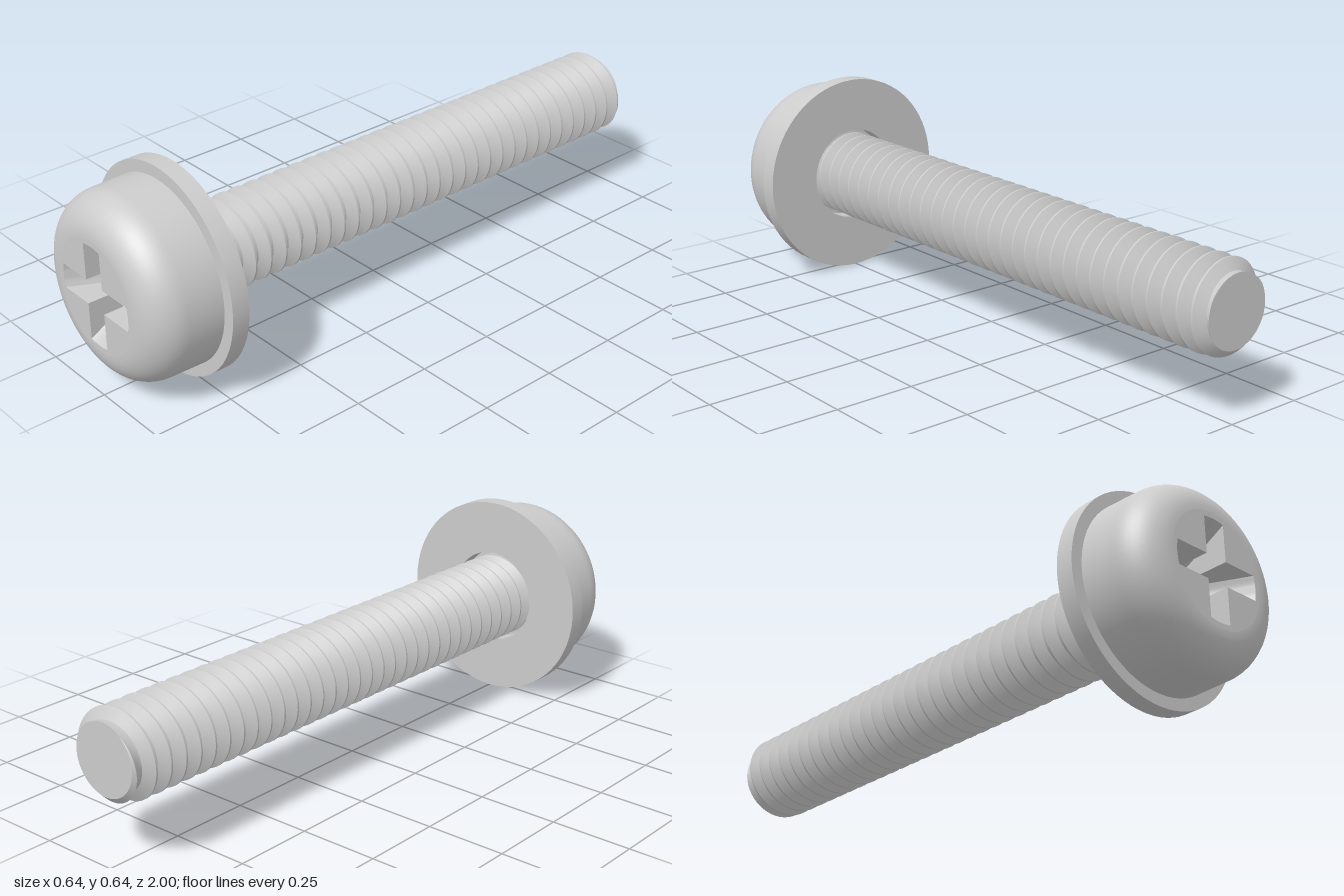
import * as THREE from 'three';
import { toCreasedNormals, mergeGeometries } from 'three/addons/utils/BufferGeometryUtils.js';

const SEG = 72;
const W = 0.038;                 // half width of a recess arm
const R_FLAT = 0.173;            // flat disc on the head
const R_ARM = 0.156;             // reach of a recess arm
const material = new THREE.MeshStandardMaterial({ color: 0xcccccc });

// Surface through rows of points; faces look along (column direction) x (row direction)
function grid(rows) {
  const n = rows[0].length, index = [];
  for (let k = 0; k < rows.length - 1; k++) {
    for (let j = 0; j < n - 1; j++) {
      const a = k * n + j, d = a + n;
      index.push(a, a + 1, d + 1, a, d + 1, d);
    }
  }
  const g = new THREE.BufferGeometry();
  g.setAttribute('position', new THREE.Float32BufferAttribute(rows.flat(2), 3));
  g.setIndex(index);
  return g;
}

// Profile of [radius, z] pairs turned around the z axis
function turned(profile) {
  const pts = profile.map(([r, z]) => new THREE.Vector2(r, z));
  return new THREE.LatheGeometry(pts, SEG).rotateX(Math.PI / 2);
}

function addMesh(group, name, geometry, crease = 0.5) {
  const mesh = new THREE.Mesh(toCreasedNormals(geometry, crease), material);
  mesh.name = name;
  group.add(mesh);
}

// Half angle of an arm at radius r
const armAngle = (r) => (r <= W * Math.SQRT2 ? Math.PI / 4 : Math.asin(W / r));

function headBody() {
  const profile = [[0.1, 0.78], [0.283, 0.78], [0.281, 0.89]];
  for (let i = 1; i <= 12; i++) {
    const a = (i / 12) * Math.PI / 2;
    profile.push([R_FLAT + 0.108 * Math.cos(a), 0.89 + 0.11 * Math.sin(a)]);
  }
  return turned(profile);
}

// Flat front disc with the cross-shaped opening
function headFace() {
  const shape = new THREE.Shape();
  shape.absarc(0, 0, R_FLAT, 0, Math.PI * 2, false);
  const pts = [], tip = armAngle(R_ARM);
  for (let arm = 0; arm < 4; arm++) {
    const mid = arm * Math.PI / 2;
    for (let i = 0; i <= 8; i++) {
      const a = mid + tip * (i / 4 - 1);
      pts.push(new THREE.Vector2(R_ARM * Math.cos(a), R_ARM * Math.sin(a)));
    }
    const c = mid + Math.PI / 4;
    pts.push(new THREE.Vector2(W * Math.SQRT2 * Math.cos(c), W * Math.SQRT2 * Math.sin(c)));
  }
  shape.holes.push(new THREE.Path(pts));
  return new THREE.ShapeGeometry(shape, SEG).translate(0, 0, 1);
}

// One quarter of the recess: conical floor and two side walls
function recessArm() {
  const corner = W * Math.SQRT2;
  const stations = [[R_ARM, 1], [0.08, 0.85], [corner, 0.834], [0.013, 0.81], [0.009, 0.8], [0, 0.797]];
  const floor = stations.map(([r, z]) => Array.from({ length: 9 }, (_, i) => {
    const a = armAngle(r) * (i / 4 - 1);
    return [r * Math.cos(a), r * Math.sin(a), z];
  }));
  const edge = stations.slice(0, 3).reverse().map(([r, z]) => [Math.sqrt(r * r - W * W), z]);
  const wall = (y, list) => grid([
    list.map(([x, z]) => [x, y, z]),
    list.map(([x]) => [x, y, 1]),
  ]);
  return mergeGeometries([grid(floor), wall(W, edge), wall(-W, [...edge].reverse())]);
}

// Right-handed helical thread, trimmed at both ends and chamfered at the tip
function thread() {
  const pitch = 0.0545, root = 0.105, crest = 0.138, end = 0.108;
  const zMin = -1, zMax = 0.78;
  const tooth = [[0, root], [0.18, root], [0.54, crest], [0.64, crest]];
  const turns = Math.ceil((zMax - zMin) / pitch) + 2;
  const rows = [];
  for (let t = -1; t < turns; t++) {
    for (const [f, radius] of tooth) {
      const row = [];
      for (let j = 0; j <= 48; j++) {
        const a = (j / 48) * Math.PI * 2;
        const raw = zMin + pitch * (t + f + j / 48);
        const z = Math.min(zMax, Math.max(zMin, raw));
        const r = z === zMin ? end : Math.min(radius, end + (z - zMin));
        row.push([r * Math.cos(a), r * Math.sin(a), z]);
      }
      rows.push(row);
    }
  }
  return grid(rows);
}

export function createModel() {
  const model = new THREE.Group();
  model.name = 'screw';

  const head = new THREE.Group();
  head.name = 'head';
  addMesh(head, 'headBody', headBody());
  addMesh(head, 'headFace', headFace());
  for (let i = 0; i < 4; i++) {
    addMesh(head, 'recessArm', recessArm().rotateZ(i * Math.PI / 2), 0.4);
  }
  model.add(head);

  // Loose washer ring under the head
  addMesh(model, 'washer', turned([
    [0.15, 0.725], [0.32, 0.725], [0.32, 0.78], [0.15, 0.78], [0.15, 0.725],
  ]));

  const shank = new THREE.Group();
  shank.name = 'shank';
  addMesh(shank, 'thread', thread());
  addMesh(shank, 'tipFace', new THREE.CircleGeometry(0.108, 48).rotateY(Math.PI).translate(0, 0, -1));
  model.add(shank);

  model.position.y = 0.32;
  const root = new THREE.Group();
  root.add(model);
  return root;
}
